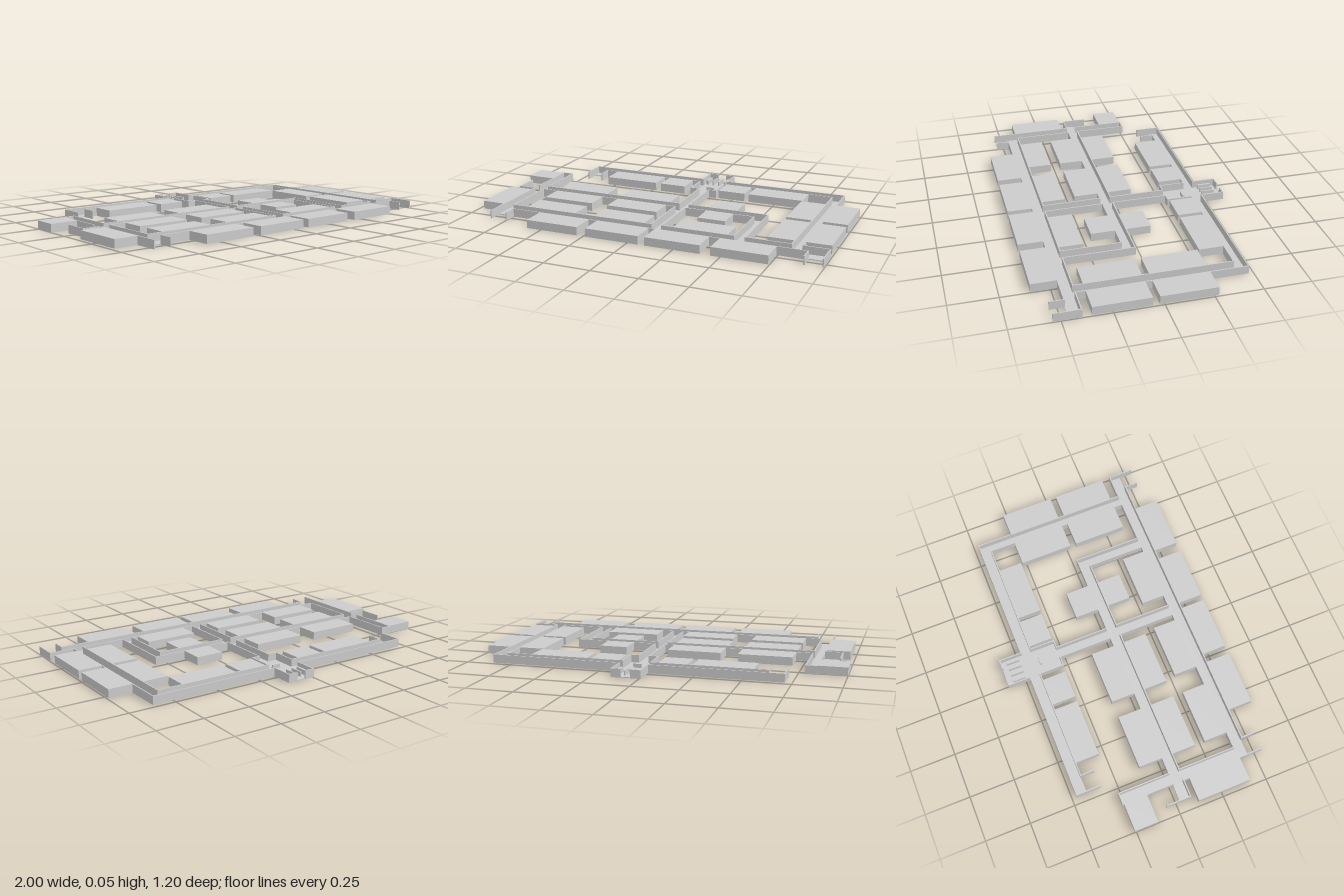
import * as THREE from 'three';

const H = 0.045;      // wall and room height
const T = 0.006;      // wall thickness
const FLOOR = 0.004;  // corridor floor thickness

export function createModel() {
  const model = new THREE.Group();
  model.name = 'floorPlan';
  const mat = new THREE.MeshStandardMaterial({ color: 0xcccccc, flatShading: true });

  // box given by its x and z limits, standing on y = 0
  const block = (name, x0, x1, z0, z1, h = H) => {
    const mesh = new THREE.Mesh(new THREE.BoxGeometry(x1 - x0, h, z1 - z0), mat);
    mesh.position.set((x0 + x1) / 2, h / 2, (z0 + z1) / 2);
    mesh.name = name;
    model.add(mesh);
  };
  const wall = ([ax, az], [bx, bz]) => block('wall',
    Math.min(ax, bx) - T / 2, Math.max(ax, bx) + T / 2,
    Math.min(az, bz) - T / 2, Math.max(az, bz) + T / 2);

  // corridor outline [x, z]; 'door' marks an open edge up to the next corner
  const outline = [
    [0.045, -0.597], [-0.005, -0.597], [-0.005, -0.472], [-0.71, -0.472],
    [-0.71, -0.415, 'door'], [-0.62, -0.415], [-0.005, -0.415], [-0.005, -0.277],
    [0.045, -0.277], [0.045, 0.025], [-0.785, 0.025], [-0.785, -0.263],
    [-0.845, -0.263], [-0.845, 0.025, 'door'], [-0.94, 0.025], [-0.94, 0.083],
    [-0.845, 0.083], [-0.845, 0.465, 'door'], [-0.75, 0.465], [0.9, 0.465, 'door'],
    [0.993, 0.465], [0.993, 0.402], [0.857, 0.402], [0.857, -0.472],
    [0.148, -0.472], [0.148, -0.597], [0.1, -0.597, 'door'],
  ];
  // open courts enclosed by the corridors
  const courts = [
    [[-0.785, 0.083], [0.045, 0.083], [0.045, 0.402], [-0.785, 0.402]],
    [[0.105, 0.083], [0.5, 0.083], [0.5, 0.402], [0.105, 0.402]],
    [[0.105, -0.277], [0.148, -0.277], [0.148, -0.415], [0.8, -0.415],
      [0.8, 0.402], [0.56, 0.402], [0.56, 0.025], [0.105, 0.025]],
  ];

  // corridor floor in one piece
  const points = (loop) => loop.map(([x, z]) => new THREE.Vector2(x, -z));
  const shape = new THREE.Shape(points(outline));
  courts.forEach((c) => shape.holes.push(new THREE.Path(points(c))));
  const floorGeo = new THREE.ExtrudeGeometry(shape, { depth: FLOOR, bevelEnabled: false });
  floorGeo.rotateX(-Math.PI / 2);
  const floor = new THREE.Mesh(floorGeo, mat);
  floor.name = 'corridorFloor';
  model.add(floor);

  // corridor walls
  for (const loop of [outline, ...courts]) {
    loop.forEach((p, i) => {
      if (p[2] !== 'door') wall(p, loop[(i + 1) % loop.length]);
    });
  }

  // short walls flanking the exits
  for (const [x, z0, z1] of [
    [-0.71, -0.415, -0.34], [-0.62, -0.415, -0.34], [-0.94, -0.05, 0.025],
    [-0.845, 0.465, 0.537], [-0.75, 0.465, 0.537], [0.9, 0.465, 0.537], [0.993, 0.465, 0.537],
  ]) wall([x, z0], [x, z1]);

  // rows of rooms: z limits, then the x limits of each room
  const middle = [[-0.695, -0.4], [-0.305, -0.008], [0.23, 0.385]];
  const side = [[0.66, 0.8], [0.857, 0.99]];
  const rows = [
    [-0.415, -0.282, [[-0.547, -0.23], [-0.2, -0.047], [0.165, 0.322], [0.347, 0.663]]],
    [-0.108, 0.025, middle],
    [0.083, 0.215, middle],
    [0.272, 0.402, [[-0.695, -0.4], [-0.29, 0.007], [0.17, 0.466]]],
    [0.465, 0.6, [[-0.583, -0.287], [-0.237, 0.06], [0.095, 0.392], [0.448, 0.743]]],
    [-0.273, 0.022, side],
    [0.057, 0.352, side],
    [-0.258, -0.127, [[-1, -0.845]]],
    [0.115, 0.41, [[-0.977, -0.845]]],
  ];
  for (const [z0, z1, spans] of rows) {
    for (const [x0, x1] of spans) block('room', x0, x1, z0, z1);
  }

  // entrance gates and reception desk in the lobby
  for (const [x, w] of [[0.016, 0.012], [0.051, 0.007], [0.087, 0.007], [0.124, 0.012]]) {
    block('entranceGate', x - w / 2, x + w / 2, -0.568, -0.494, 0.03);
  }
  block('receptionDesk', 0.053, 0.098, -0.392, -0.38, 0.025);

  return model;
}
